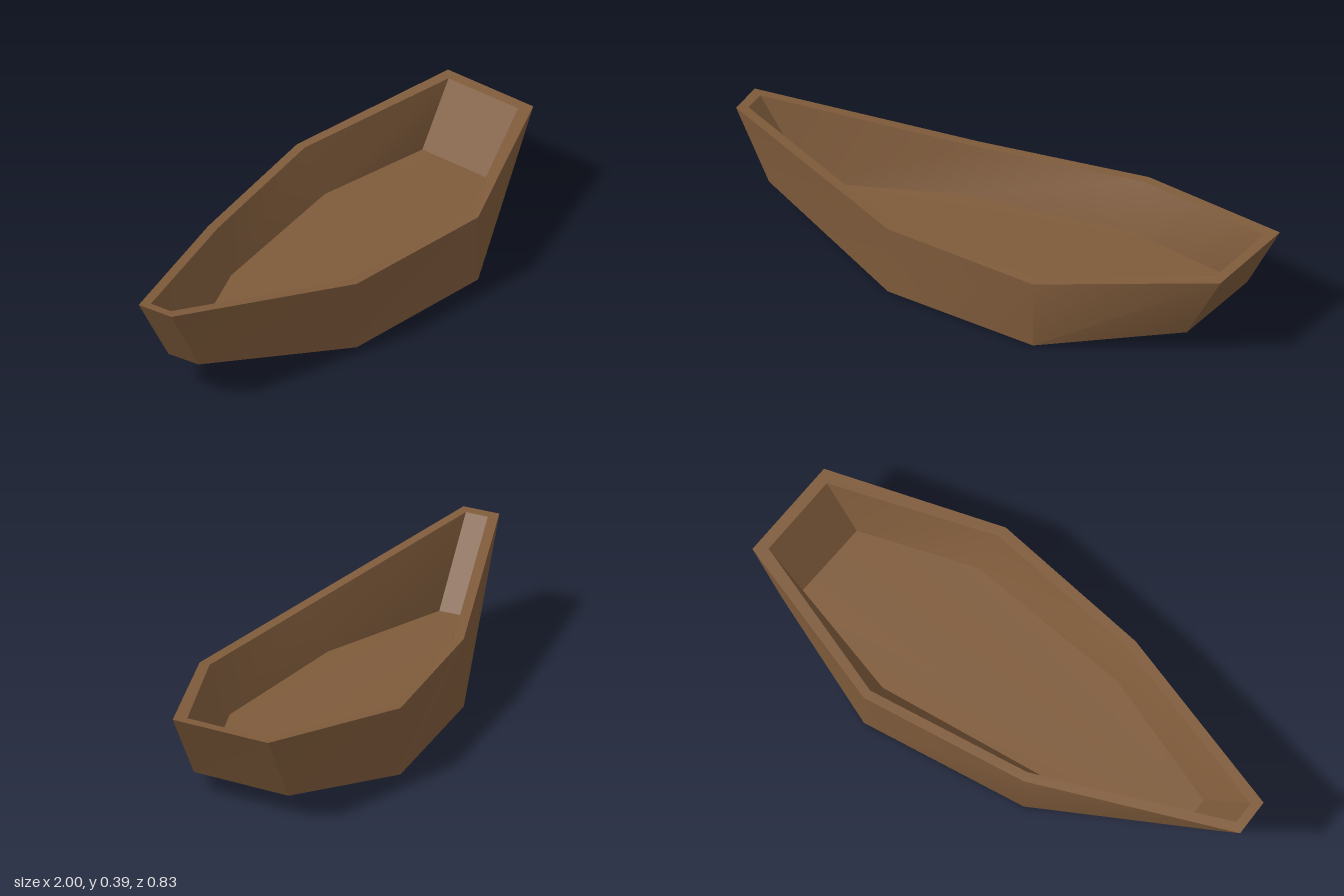
import * as THREE from 'three';
import { toCreasedNormals } from 'three/addons/utils/BufferGeometryUtils.js';

// Eight-cornered rings [x, y, z], counter-clockwise seen from above, starting at the bow
const keel = [
  [-0.86, 0.135, 0.15], [-0.835, 0.135, 0.275], [-0.2, 0, 0.413], [0.42, 0.005, 0.382],
  [0.86, 0.078, 0.073], [0.825, 0.078, -0.315], [0.31, 0.005, -0.415], [-0.3, 0, -0.23],
];
const rimOuter = [
  [-1, 0.39, 0.145], [-0.975, 0.39, 0.283], [-0.2, 0.258, 0.413], [0.42, 0.258, 0.382],
  [1, 0.33, 0.06], [0.96, 0.33, -0.327], [0.31, 0.258, -0.415], [-0.3, 0.258, -0.23],
];
const rimInner = [
  [-0.96, 0.387, 0.165], [-0.945, 0.387, 0.25], [-0.2, 0.258, 0.375], [0.415, 0.258, 0.342],
  [0.955, 0.328, 0.03], [0.922, 0.328, -0.285], [0.315, 0.258, -0.38], [-0.285, 0.258, -0.197],
];
const floorRing = [
  [-0.76, 0.09, 0.133], [-0.745, 0.09, 0.215], [-0.22, 0.095, 0.305], [0.42, 0.095, 0.25],
  [0.815, 0.1, 0.04], [0.785, 0.1, -0.275], [0.335, 0.095, -0.3], [-0.285, 0.095, -0.13],
];

function geometryFrom(points, index) {
  const geometry = new THREE.BufferGeometry();
  geometry.setAttribute('position', new THREE.Float32BufferAttribute(points.flat(), 3));
  geometry.setIndex(index);
  return toCreasedNormals(geometry, THREE.MathUtils.degToRad(30));
}

// Closed band of quads between two rings
function band(a, b) {
  const n = a.length, index = [];
  for (let i = 0; i < n; i++) {
    const j = (i + 1) % n;
    index.push(i, j, n + j, i, n + j, n + i);
  }
  return geometryFrom([...a, ...b], index);
}

// Flat fan filling one ring
function cap(ring) {
  const index = [];
  for (let i = 1; i < ring.length - 1; i++) index.push(0, i, i + 1);
  return geometryFrom(ring, index);
}

export function createModel() {
  const boat = new THREE.Group();
  boat.name = 'boat';
  const wood = new THREE.MeshStandardMaterial({ color: 0x7f5b3b, side: THREE.DoubleSide });
  wood.name = 'brown wood';

  const add = (name, geometry) => {
    const mesh = new THREE.Mesh(geometry, wood);
    mesh.name = name;
    boat.add(mesh);
  };

  add('outerHull', band(keel, rimOuter));
  add('rim', band(rimOuter, rimInner));
  add('innerHull', band(rimInner, floorRing));
  add('floor', cap(floorRing));
  return boat;
}
